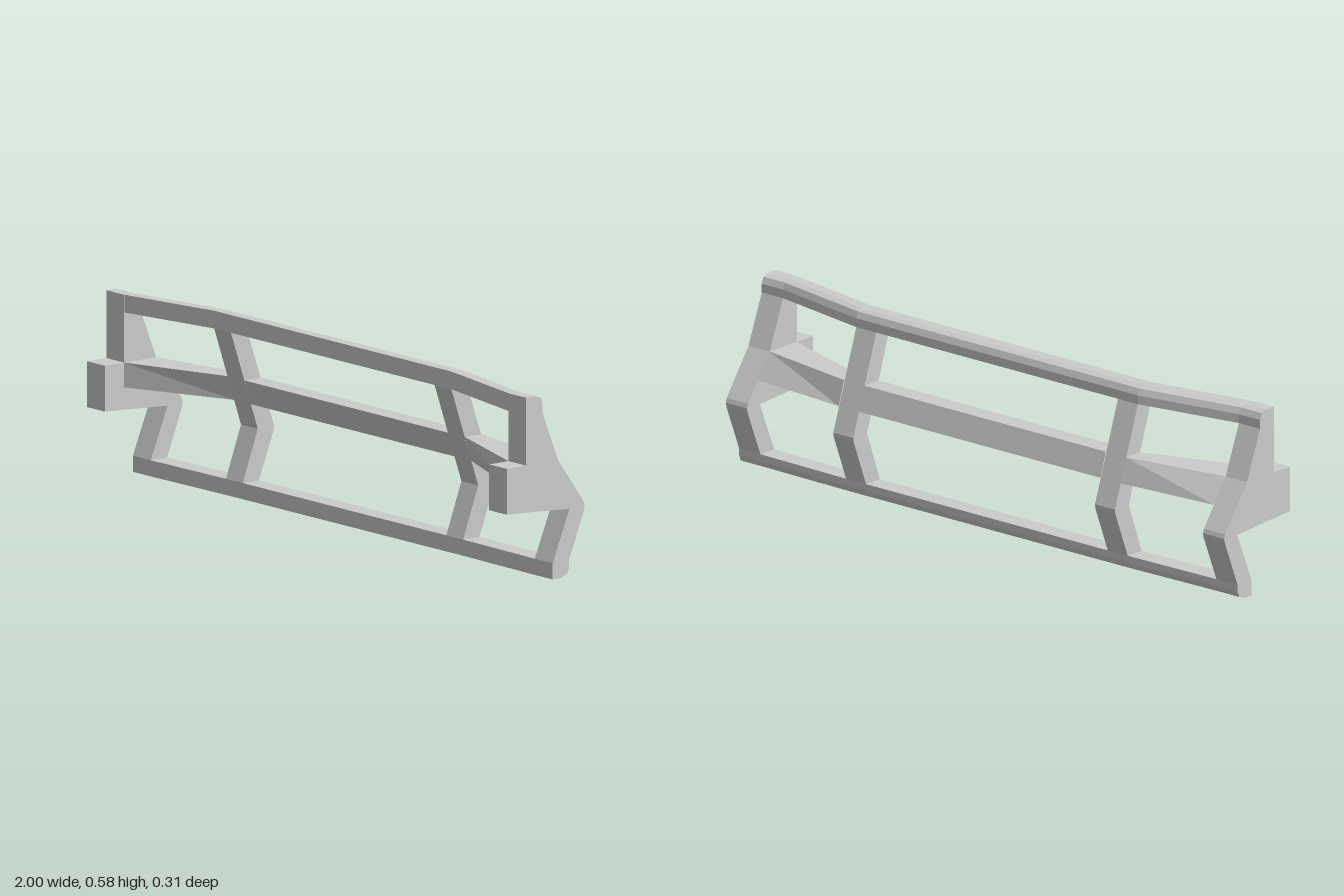
import * as THREE from 'three';

const material = new THREE.MeshStandardMaterial({ color: 0xcccccc, flatShading: true });

// Bar lofted along x through sections { x, pts }, pts being [z, y] corners anticlockwise from the -x side
function loft(name, sections) {
  const pos = [];
  for (let s = 0; s < sections.length - 1; s++) {
    const a = sections[s], b = sections[s + 1], n = a.pts.length;
    const corner = (sec, i) => [sec.x, sec.pts[i % n][1], sec.pts[i % n][0]];
    for (let i = 0; i < n; i++) {
      pos.push(...corner(a, i), ...corner(b, i), ...corner(a, i + 1));
      pos.push(...corner(b, i), ...corner(b, i + 1), ...corner(a, i + 1));
    }
  }
  const geo = new THREE.BufferGeometry();
  geo.setAttribute('position', new THREE.Float32BufferAttribute(pos, 3));
  geo.computeVertexNormals();
  const mesh = new THREE.Mesh(geo, material);
  mesh.name = name;
  return mesh;
}

// Upright cut from a [z, y] side profile, spanning x0 to x1
function upright(name, pts, x0, x1) {
  const shape = new THREE.Shape(pts.map(([z, y]) => new THREE.Vector2(z, y)));
  const geo = new THREE.ExtrudeGeometry(shape, { depth: x1 - x0, bevelEnabled: false });
  geo.rotateY(-Math.PI / 2).translate(x1, 0, 0);
  const mesh = new THREE.Mesh(geo, material);
  mesh.name = name;
  return mesh;
}

const END = 1, END_IN = 0.915, POST = 0.565, POST_IN = 0.485;

// Rail profiles at the middle of the model, rear edge rounded off by small facets
const topProfile = [
  [0.015, 0.577], [-0.022, 0.577], [-0.04, 0.57], [-0.048, 0.55], [-0.048, 0.522], [0.015, 0.522],
];
const bottomProfile = [
  [-0.031, 0.05], [-0.095, 0.05], [-0.095, 0.028], [-0.088, 0.01], [-0.067, 0.002], [-0.06, 0], [-0.031, 0],
];
const midProfile = [[-0.038, 0.367], [-0.104, 0.367], [-0.129, 0.29], [-0.063, 0.29]];
const midEndProfile = [[0.08, 0.367], [-0.045, 0.367], [-0.1, 0.29], [0.08, 0.29]];

const shift = (pts, dz) => pts.map(([z, y]) => [z + dz, y]);

// Rail whose outer stretches sweep forward by dz
const sweptRail = (name, pts, dz) => loft(name, [
  { x: -END_IN, pts: shift(pts, dz) }, { x: -POST, pts },
  { x: POST, pts }, { x: END_IN, pts: shift(pts, dz) },
]);

export function createModel() {
  const model = new THREE.Group();
  model.name = 'bumperFrame';

  model.add(sweptRail('topRail', topProfile, 0.064));
  model.add(sweptRail('bottomRail', bottomProfile, 0.007));

  // Middle rail: plain centre, deeper wedge-shaped stretches toward the ends
  model.add(loft('middleRail', [{ x: -POST_IN, pts: midProfile }, { x: POST_IN, pts: midProfile }]));
  model.add(loft('leftMiddleRail', [{ x: POST, pts: midProfile }, { x: END_IN, pts: midEndProfile }]));
  model.add(loft('rightMiddleRail', [{ x: -END_IN, pts: midEndProfile }, { x: -POST, pts: midProfile }]));

  // Kinked inner post between the top and bottom rails
  const postProfile = [
    [0.015, 0.522], [-0.048, 0.522], [-0.149, 0.226], [-0.154, 0.212], [-0.152, 0.198],
    [-0.095, 0.05], [-0.031, 0.05], [-0.09, 0.21],
  ];

  // End plate with its forward mounting block and kinked lower leg
  const endProfile = [
    [0.08, 0.577], [0.042, 0.577], [0.024, 0.57], [0.016, 0.55], [0.016, 0.522],
    [-0.045, 0.367], [-0.1, 0.29], [-0.146, 0.225], [-0.15, 0.212], [-0.147, 0.198],
    [-0.088, 0.05], [-0.088, 0.028], [-0.081, 0.01], [-0.06, 0.002], [-0.053, 0], [-0.024, 0],
    [-0.024, 0.05], [-0.09, 0.21], [0.08, 0.221], [0.155, 0.225], [0.155, 0.367], [0.08, 0.367],
  ];

  model.add(upright('leftPost', postProfile, POST_IN, POST));
  model.add(upright('rightPost', postProfile, -POST, -POST_IN));
  model.add(upright('leftEndPlate', endProfile, END_IN, END));
  model.add(upright('rightEndPlate', endProfile, -END, -END_IN));

  return model;
}
